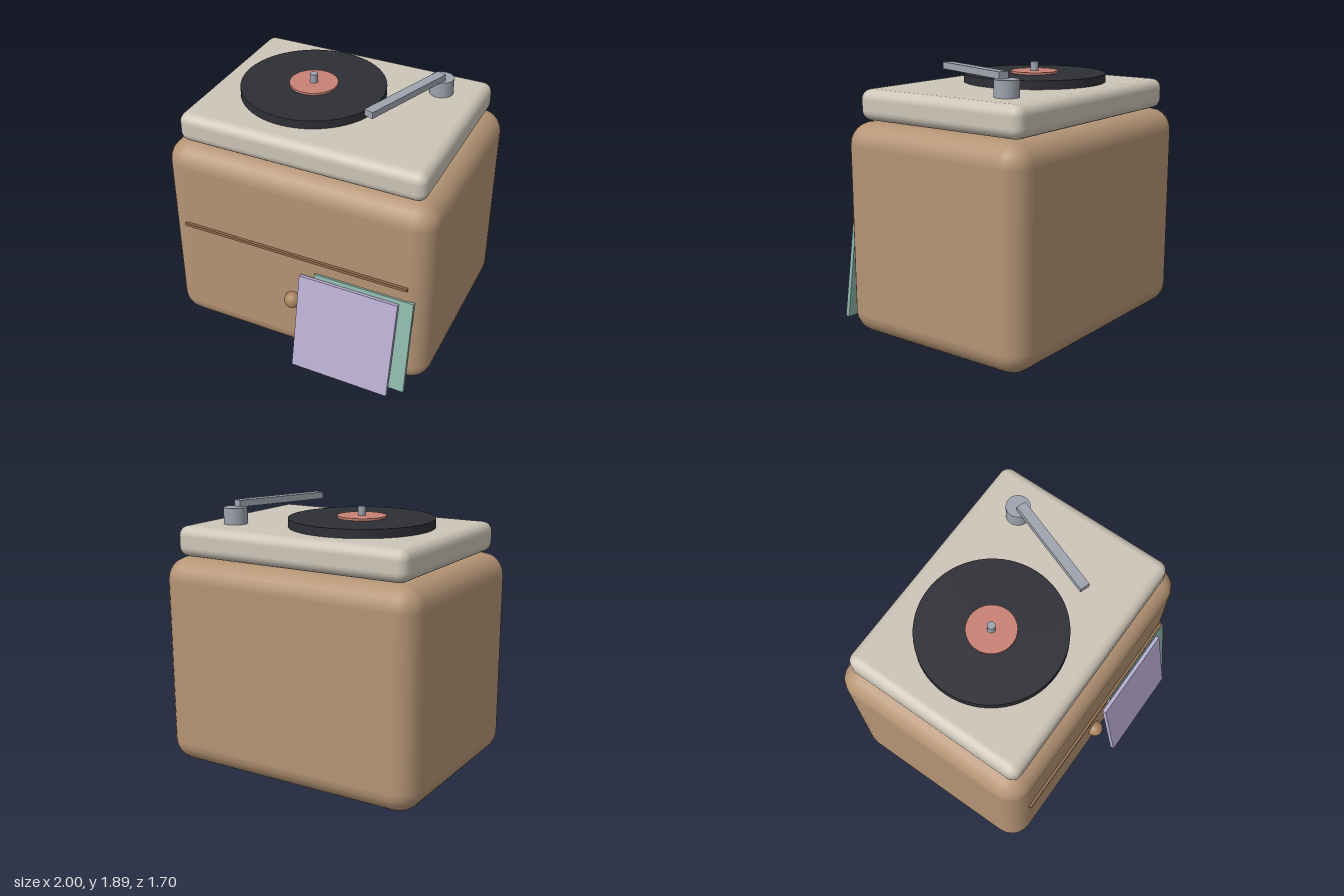
import * as THREE from 'three';
import { RoundedBoxGeometry } from 'three/addons/geometries/RoundedBoxGeometry.js';

export function createModel() {
  const root = new THREE.Group();
  root.name = 'turntableCabinet';

  const material = (name, color) => {
    const m = new THREE.MeshStandardMaterial({ color });
    m.name = name;
    return m;
  };
  const wood = material('wood', 0xb59475);
  const darkWood = material('dark wood', 0x8f6b4c);
  const knobWood = material('knob wood', 0xa9845f);
  const cream = material('cream', 0xcdc5b8);
  const vinyl = material('vinyl', 0x2e2e36);
  const coral = material('coral', 0xc98174);
  const metal = material('metal', 0x9ea4ae);
  const lilac = material('lilac', 0xb9aed1);
  const sage = material('sage', 0x8fb8ad);

  const add = (name, geometry, mat, x, y, z) => {
    const mesh = new THREE.Mesh(geometry, mat);
    mesh.name = name;
    mesh.position.set(x, y, z);
    root.add(mesh);
    return mesh;
  };
  // Upright disc or post between two heights
  const disc = (name, radius, bottom, top, mat, x, z, sides = 64) =>
    add(name, new THREE.CylinderGeometry(radius, radius, top - bottom, sides), mat, x, (bottom + top) / 2, z);

  // Cabinet with drawer line and knob
  add('cabinet', new RoundedBoxGeometry(2, 1.51, 1.51, 3, 0.16), wood, 0, 0.755, -0.095);
  add('drawerLine', new THREE.BoxGeometry(1.7, 0.022, 0.03), darkWood, 0, 0.884, 0.665);
  add('knob', new THREE.SphereGeometry(0.06, 24, 16), knobWood, 0, 0.493, 0.68);

  // Deck on top
  add('deck', new RoundedBoxGeometry(1.8, 0.215, 1.36, 3, 0.07), cream, 0, 1.6225, -0.095);

  // Record with label and spindle
  disc('record', 0.51, 1.73, 1.79, vinyl, -0.2, -0.1);
  disc('recordLabel', 0.17, 1.78, 1.805, coral, -0.2, -0.1, 48);
  disc('spindle', 0.028, 1.79, 1.868, metal, -0.2, -0.1, 16);

  // Tone arm on its post
  disc('armPost', 0.084, 1.73, 1.845, metal, 0.61, -0.465, 32);
  const arm = add('toneArm', new THREE.BoxGeometry(0.07, 0.047, 0.73), metal, 0.487, 1.868, -0.1);
  arm.rotation.y = -0.35;

  // Record sleeves leaning on the front
  const sleeve = (name, mat, x, y, z, tilt) => {
    add(name, new THREE.BoxGeometry(0.73, 0.73, 0.03), mat, x, y, z).rotation.x = -tilt;
  };
  sleeve('frontSleeve', lilac, 0.435, 0.395, 0.765, 0.2);
  sleeve('backSleeve', sage, 0.535, 0.418, 0.715, 0.15);

  return root;
}
